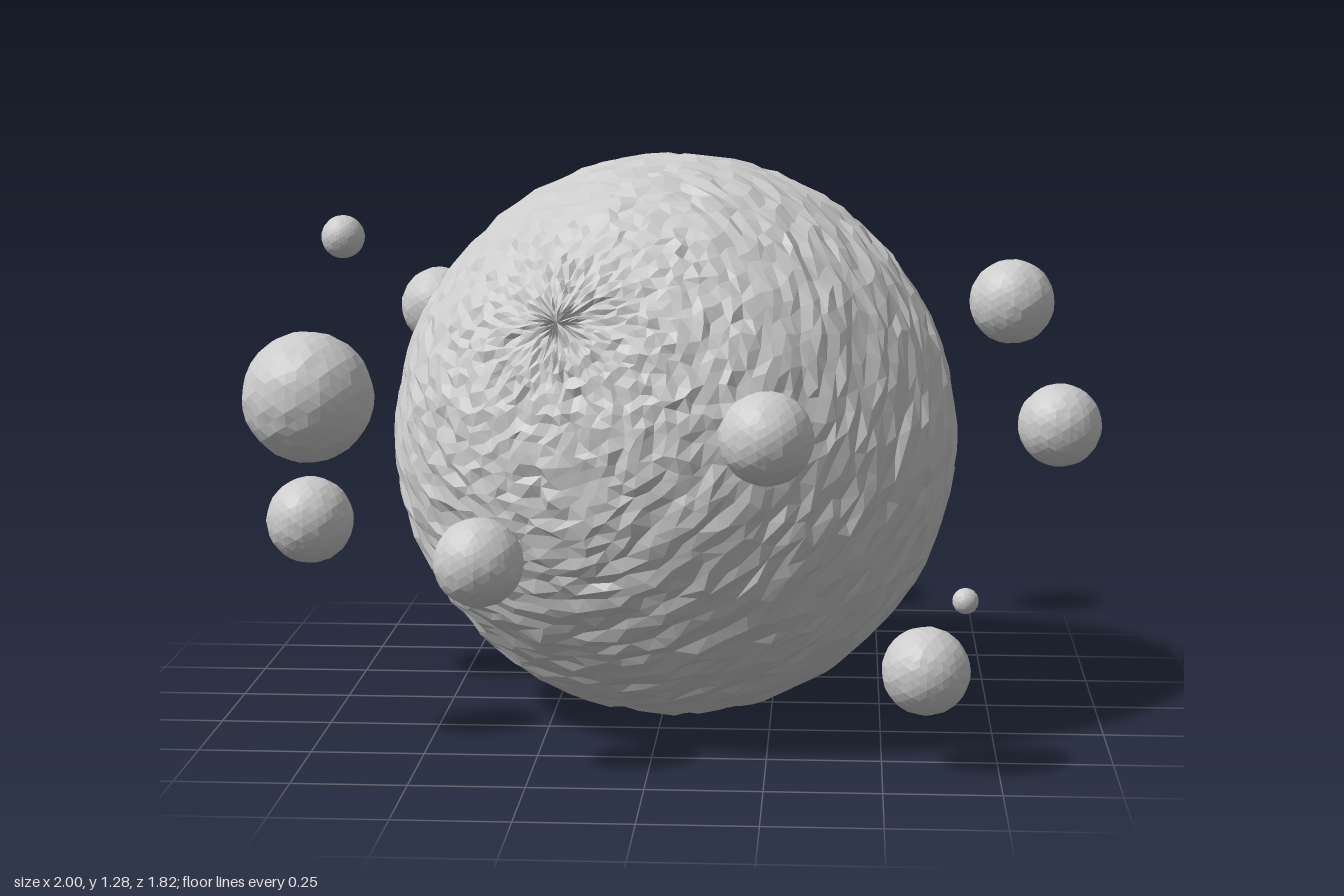
import * as THREE from 'three';

const material = new THREE.MeshStandardMaterial({ color: 0xcccccc, flatShading: true });

// Repeatable pseudo-random value in -1..1 from three numbers
function hash(a, b, c = 0) {
  const s = Math.sin(a * 127.1 + b * 311.7 + c * 74.7) * 43758.5453;
  return (s - Math.floor(s)) * 2 - 1;
}

// Large ball: long narrow facets spiralling round a tilted axis, roughened like scales
function scalyBall(radius, around, rows, twist, rough) {
  const positions = [], indices = [];
  for (let j = 0; j <= rows; j++) {
    for (let i = 0; i < around; i++) {
      const pole = j === 0 || j === rows;
      const theta = pole ? (j / rows) * Math.PI : ((j + 0.3 * hash(i, j, 3)) / rows) * Math.PI;
      const phi = ((i + (j % 2) * 0.5 + 0.3 * hash(i, j, 5)) / around) * Math.PI * 2 + twist * Math.cos(theta);
      const r = radius + (pole ? 0 : rough * hash(i, j));
      positions.push(
        r * Math.sin(theta) * Math.cos(phi),
        r * Math.cos(theta),
        -r * Math.sin(theta) * Math.sin(phi));
    }
  }
  for (let j = 0; j < rows; j++) {
    for (let i = 0; i < around; i++) {
      const n = (i + 1) % around;
      const a = j * around + i, b = j * around + n;
      const c = a + around, d = b + around;
      // alternate the diagonal to follow the staggered rows
      if (j % 2) indices.push(a, c, d, a, d, b);
      else indices.push(a, c, b, b, c, d);
    }
  }
  const indexed = new THREE.BufferGeometry();
  indexed.setAttribute('position', new THREE.Float32BufferAttribute(positions, 3));
  indexed.setIndex(indices);
  const geometry = indexed.toNonIndexed();
  geometry.computeVertexNormals();
  return geometry;
}

// Small ball: faceted sphere with slightly uneven corners
function facetedBall(radius, seed) {
  const geometry = new THREE.IcosahedronGeometry(1, 5);
  const pos = geometry.attributes.position;
  const v = new THREE.Vector3();
  for (let i = 0; i < pos.count; i++) {
    v.fromBufferAttribute(pos, i);
    const k = [v.x, v.y, v.z].map((n) => Math.round(n * 1000) / 100);
    v.multiplyScalar(radius * (1 + 0.012 * hash(k[0] + seed, k[1], k[2])));
    pos.setXYZ(i, v.x, v.y, v.z);
  }
  geometry.computeVertexNormals();
  return geometry;
}

// Position and radius of each orbiting ball
const satellites = [
  [-0.85, 0.71, -0.08, 0.155],
  [-0.21, 0.945, -0.755, 0.153],
  [-0.755, 0.515, 0.43, 0.095],
  [-0.6, 0.875, -0.55, 0.095],
  [-0.35, 0.48, 0.7, 0.095],
  [0.255, 0.767, 0.81, 0.097],
  [0.785, 0.97, 0.11, 0.095],
  [0.903, 0.68, 0.045, 0.095],
  [0.592, 0.225, 0.555, 0.095],
  [0.345, 0.925, -0.735, 0.095],
  [-0.73, 1.105, 0.09, 0.049],
  [0.693, 0.28, 0.105, 0.03],
];

export function createModel() {
  const group = new THREE.Group();

  const core = new THREE.Mesh(scalyBall(0.64, 64, 90, 0.6, 0.007), material);
  core.name = 'centralBall';
  core.position.set(0.025, 0.65, 0.035);
  core.quaternion.setFromUnitVectors(
    new THREE.Vector3(0, 1, 0),
    new THREE.Vector3(-0.35, 0.5, 0.8).normalize());
  group.add(core);

  satellites.forEach(([x, y, z, r], i) => {
    const ball = new THREE.Mesh(facetedBall(r, i), material);
    ball.name = `orbitingBall${i + 1}`;
    ball.position.set(x, y, z);
    group.add(ball);
  });

  return group;
}
